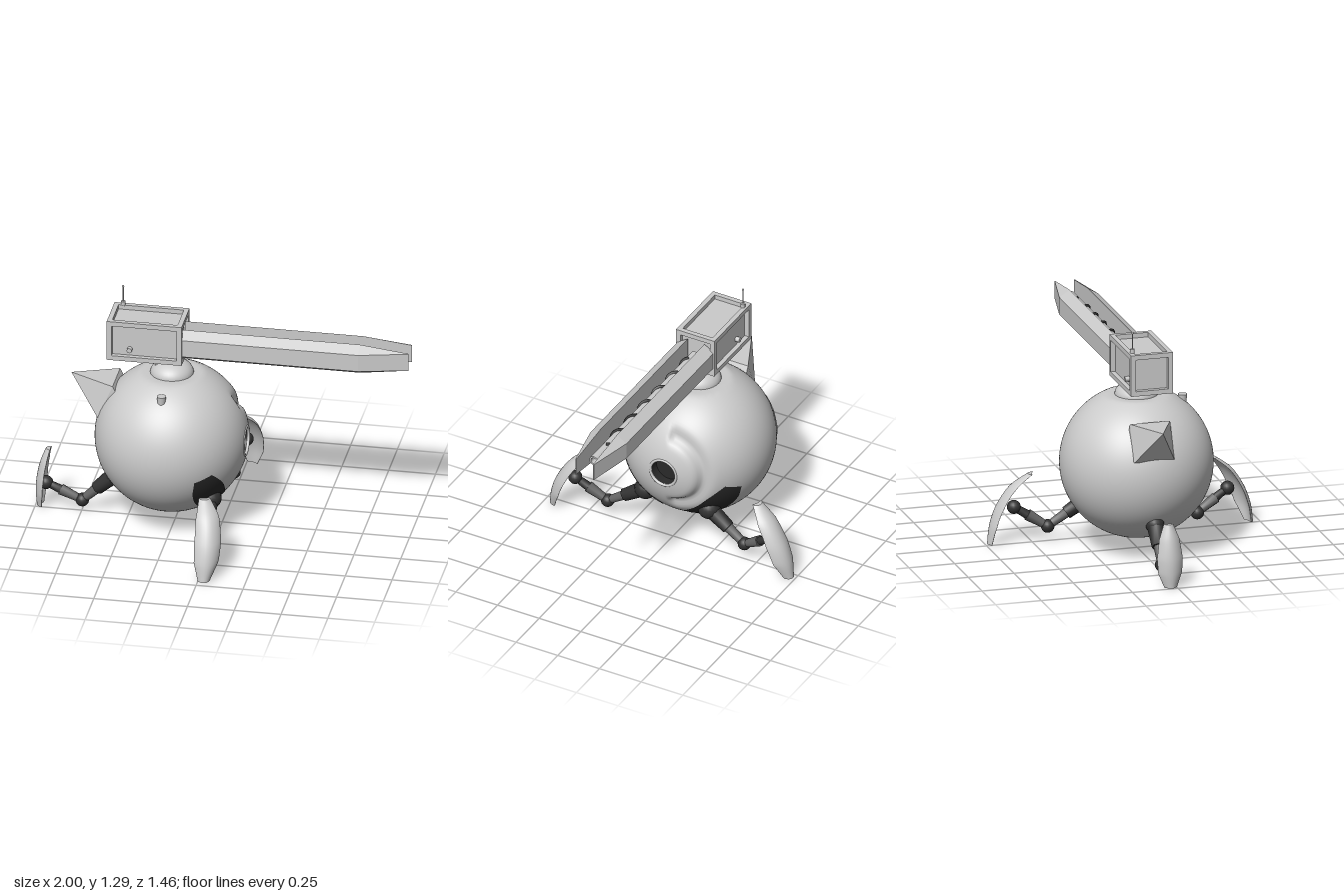
import * as THREE from 'three';
import { mergeVertices, toCreasedNormals } from 'three/addons/utils/BufferGeometryUtils.js';
import { ConvexGeometry } from 'three/addons/geometries/ConvexGeometry.js';

const V = (x, y, z) => new THREE.Vector3(x, y, z);
const paint = (color) => new THREE.MeshStandardMaterial({ color });
const grey = paint(0xcccccc), dark = paint(0x333333), steel = paint(0x666666);
const greyOpen = new THREE.MeshStandardMaterial({ color: 0xcccccc, side: THREE.DoubleSide });
const darkOpen = new THREE.MeshStandardMaterial({ color: 0x2a2a2a, side: THREE.DoubleSide });
const C = V(-0.27, 0.49, -0.01), R = 0.406;   // body centre and radius
const GZ = -0.0225, GY = 1.045;               // gun axis

export function createModel() {
  const model = new THREE.Group();

  function add(parent, name, geo, mat, x = 0, y = 0, z = 0) {
    const m = new THREE.Mesh(geo, mat);
    m.name = name;
    m.position.set(x, y, z);
    parent.add(m);
    return m;
  }
  const group = (name) => {
    const g = new THREE.Group();
    g.name = name;
    model.add(g);
    return g;
  };
  const box = (p, name, s, mat, x, y, z) => add(p, name, new THREE.BoxGeometry(...s), mat, x, y, z);

  // Tapered rod between two points
  function rod(parent, name, a, b, r0, r1, mat, sides = 8) {
    const m = add(parent, name, toCreasedNormals(new THREE.CylinderGeometry(r1, r0, a.distanceTo(b), sides), 0.9), mat);
    m.position.copy(a).lerp(b, 0.5);
    m.quaternion.setFromUnitVectors(V(0, 1, 0), b.clone().sub(a).normalize());
  }

  // Grid of points p(i, j) turned into a surface
  function gridSurface(nu, nv, p) {
    const pos = [], idx = [];
    for (let i = 0; i <= nu; i++) for (let j = 0; j <= nv; j++) {
      pos.push(...p(i / nu, j / nv).toArray());
      if (i < nu && j < nv) {
        const a = i * (nv + 1) + j, b = a + nv + 1;
        idx.push(a, b, a + 1, b, b + 1, a + 1);
      }
    }
    const g = new THREE.BufferGeometry();
    g.setAttribute('position', new THREE.Float32BufferAttribute(pos, 3));
    g.setIndex(idx);
    g.computeVertexNormals();
    return g;
  }

  // Body: sphere turned about x, open at the eye, flat on top, grooved on one half
  const profile = [], hole = Math.asin(0.08 / R);
  for (let i = 0; i <= 72; i++) {
    const t = Math.PI - (Math.PI - hole) * (i / 72);
    profile.push(new THREE.Vector2(R * Math.sin(t), R * Math.cos(t)));
  }
  let shell = new THREE.LatheGeometry(profile, 96);
  shell.rotateZ(-Math.PI / 2);
  shell.deleteAttribute('uv');
  shell.deleteAttribute('normal');
  shell = mergeVertices(shell, 1e-5);
  const sp = shell.attributes.position;
  for (let i = 0; i < sp.count; i++) {
    const v = V().fromBufferAttribute(sp, i);
    const rad = Math.hypot(v.y, v.z);
    if (v.x > 0 && v.z < 0) {
      const side = Math.min(1, -v.z / 0.03);
      v.multiplyScalar(1 - 0.07 * side * Math.exp(-(((rad - 0.215) / 0.03) ** 2)));
    }
    v.y = Math.min(v.y, 0.37);
    sp.setXYZ(i, v.x, v.y, v.z);
  }
  shell.computeVertexNormals();
  add(model, 'body', shell, grey, C.x, C.y, C.z);

  // Eye socket
  const eye = group('eye');
  eye.position.set(C.x + 0.395, C.y, C.z);
  add(eye, 'eyeRim', new THREE.TorusGeometry(0.077, 0.008, 10, 40).rotateY(Math.PI / 2), grey);
  add(eye, 'eyeTube', new THREE.CylinderGeometry(0.073, 0.073, 0.08, 40, 1, true).rotateZ(Math.PI / 2), darkOpen, -0.04);
  add(eye, 'eyeLens', new THREE.CircleGeometry(0.073, 40).rotateY(Math.PI / 2), darkOpen, -0.06);

  // Small knob and rear spike
  add(model, 'knob', new THREE.CylinderGeometry(0.025, 0.02, 0.045, 12), grey, -0.28, 0.815, 0.24);
  const spike = [V(-0.81, 0.8, -0.025)];
  for (const z of [-0.135, 0.085]) spike.push(V(-0.57, 0.79, z), V(-0.65, 0.6, z), V(-0.5, 0.65, z));
  add(model, 'rearSpike', new ConvexGeometry(spike), grey);

  // Turret neck
  const dome = new THREE.SphereGeometry(0.115, 32, 12, 0, Math.PI * 2, 0, Math.PI / 2).scale(1, 0.65, 1);
  add(model, 'neckDome', dome, grey, C.x, 0.858, C.z);
  box(model, 'neck', [0.1, 0.06, 0.07], grey, -0.305, 0.935, -0.012);

  // Gun housing: a core behind a raised frame on every edge
  const housing = group('gunHousing');
  housing.position.set(-0.4, 1.0625, GZ);
  const S = [0.4, 0.225, 0.23], bar = 0.026;
  box(housing, 'housingCore', S.map((s) => s - 0.05), grey);
  for (const a of [-1, 1]) for (const b of [-1, 1]) for (let k = 0; k < 3; k++) {
    const size = [bar, bar, bar], at = [0, 0, 0], m = (k + 1) % 3, n = (k + 2) % 3;
    size[k] = S[k];
    at[m] = a * (S[m] - bar) / 2;
    at[n] = b * (S[n] - bar) / 2;
    box(housing, 'housingFrame', size, grey, ...at);
  }
  for (const s of [-1, 1])
    add(housing, 'sideBolt', new THREE.CylinderGeometry(0.014, 0.014, 0.03, 12).rotateX(Math.PI / 2), grey, -0.08, -0.05, s * 0.1);
  add(housing, 'antennaBase', new THREE.CylinderGeometry(0.012, 0.012, 0.025, 12), grey, -0.15, 0.122, -0.093);
  add(housing, 'antenna', new THREE.CylinderGeometry(0.003, 0.003, 0.1, 6), grey, -0.15, 0.175, -0.093);
  add(housing, 'antennaTip', new THREE.SphereGeometry(0.006, 8, 6), grey, -0.15, 0.222, -0.093);

  // Rails on both sides of the barrel, chamfered and tapering to the muzzle
  for (const s of [-1, 1]) {
    const pts = [], inner = GZ + s * 0.05, outer = GZ + s * 0.108;
    for (const x of [-0.21, 0.74])
      pts.push(V(x, 0.965, inner), V(x, 1.13, inner), V(x, 1.0, outer), V(x, 1.095, outer));
    for (const z of [inner, inner + s * 0.005]) pts.push(V(1, 1.003, z), V(1, 1.1, z));
    add(model, s > 0 ? 'rightRail' : 'leftRail', new ConvexGeometry(pts), grey);
  }

  // Barrel with a coil around it
  const bore = [[0, -0.2], [0.027, -0.2], [0.027, 0.9], [0.018, 0.9], [0.018, 0.8], [0, 0.8]].map((p) => new THREE.Vector2(...p));
  add(model, 'barrel', toCreasedNormals(new THREE.LatheGeometry(bore, 24).rotateZ(-Math.PI / 2), 0.6), grey, 0, GY, GZ);
  const coil = [];
  for (let i = 0; i <= 96; i++) {
    const a = (i / 96) * Math.PI * 12;
    coil.push(V(-0.13 + 0.9 * i / 96, GY + 0.029 * Math.cos(a), GZ + 0.029 * Math.sin(a)));
  }
  add(model, 'coil', new THREE.TubeGeometry(new THREE.CatmullRomCurve3(coil), 240, 0.009, 6), dark);

  // Foot: curved, cupped plate swept along a centre line
  function foot(parent, centre, halfWidths, out, flip) {
    const curve = new THREE.CatmullRomCurve3(centre);
    const w = V(out.z, 0, -out.x);
    const geo = gridSurface(24, 24, (t, v) => {
      const k = Math.min(3.999, t * 4), i = Math.floor(k);
      const half = THREE.MathUtils.lerp(halfWidths[i], halfWidths[i + 1], k - i);
      const a = v * Math.PI * 2, u = Math.cos(a);
      const depth = -0.5 * half * u * u + 0.012 * Math.sin(a);
      const p = curve.getPoint(t).addScaledVector(w, u * half).addScaledVector(out, depth);
      if (flip) p.z = 2 * C.z - p.z;
      return p;
    });
    add(parent, 'foot', geo, greyOpen);
    for (const t of [0, 1]) {
      const p = geo.attributes.position, ring = [];
      for (let j = 0; j < 24; j++) ring.push(V().fromBufferAttribute(p, t * 24 * 25 + j));
      add(parent, 'footEnd', gridSurface(1, 12, (u, v) => ring[Math.round(u ? (24 - v * 12) : v * 12) % 24]), greyOpen);
    }
  }

  // Leg: hip ball, thigh, knee, shin, ankle
  function leg(parent, hip, knee, ankle, hipSize) {
    const mid = hip.clone().lerp(knee, 0.55);
    rod(parent, 'thigh', hip, mid, 0.045, 0.036, dark);
    rod(parent, 'lowerThigh', mid, knee, 0.027, 0.022, steel);
    rod(parent, 'shin', knee, knee.clone().lerp(ankle, 0.6), 0.02, 0.031, steel);
    rod(parent, 'lowerShin', knee.clone().lerp(ankle, 0.6), ankle, 0.024, 0.02, dark);
    [[hip, hipSize, 'hip'], [knee, 0.036, 'knee'], [ankle, 0.037, 'ankle']].forEach(([p, r, n]) =>
      add(parent, n, new THREE.SphereGeometry(r, 16, 12), dark, p.x, p.y, p.z));
  }

  // Two front legs, each with a dark opening in the shell
  const slot = new THREE.CatmullRomCurve3([V(0, 0.41, 0.315), V(0, 0.33, 0.265), V(0, 0.245, 0.185), V(0, 0.18, 0.07)]);
  for (const s of [1, -1]) {
    const g = group(s > 0 ? 'rightLeg' : 'leftLeg');
    const P = (x, y, z) => V(x, y, C.z + s * (z - C.z));
    leg(g, P(-0.03, 0.235, 0.18), P(-0.015, 0.09, 0.4), P(0.02, 0.2, 0.575), 0.06);
    foot(g, [V(0, 0.385, 0.495), V(0.035, 0.31, 0.585), V(0.05, 0.2, 0.655), V(0.048, 0.1, 0.69), V(0.035, 0.005, 0.705)],
      [0.03, 0.062, 0.072, 0.066, 0.032], V(0.35, 0, 0.937), s < 0);
    add(g, 'legOpening', gridSurface(20, 6, (t, v) => {
      const p = slot.getPoint(t), d = slot.getTangent(t);
      const half = (0.03 + 0.025 * Math.sin(Math.PI * t)) * (v * 2 - 1);
      const y = p.y - d.z * half - C.y, z = p.z + d.y * half - C.z;
      const q = V(Math.sqrt(Math.max(0, R * R - y * y - z * z)), y, z * s).setLength(R + 0.003);
      return q.add(C);
    }), darkOpen);
  }

  // Rear leg
  const rear = group('rearLeg');
  leg(rear, V(-0.575, 0.23, 0), V(-0.75, 0.06, -0.015), V(-0.945, 0.14, -0.025), 0.05);
  foot(rear, [V(-0.935, 0.34, -0.03), V(-0.965, 0.26, -0.03), V(-0.985, 0.16, -0.03), V(-0.988, 0.08, -0.03), V(-0.982, 0.005, -0.03)],
    [0.025, 0.055, 0.07, 0.065, 0.035], V(-1, 0, 0), false);

  return model;
}
